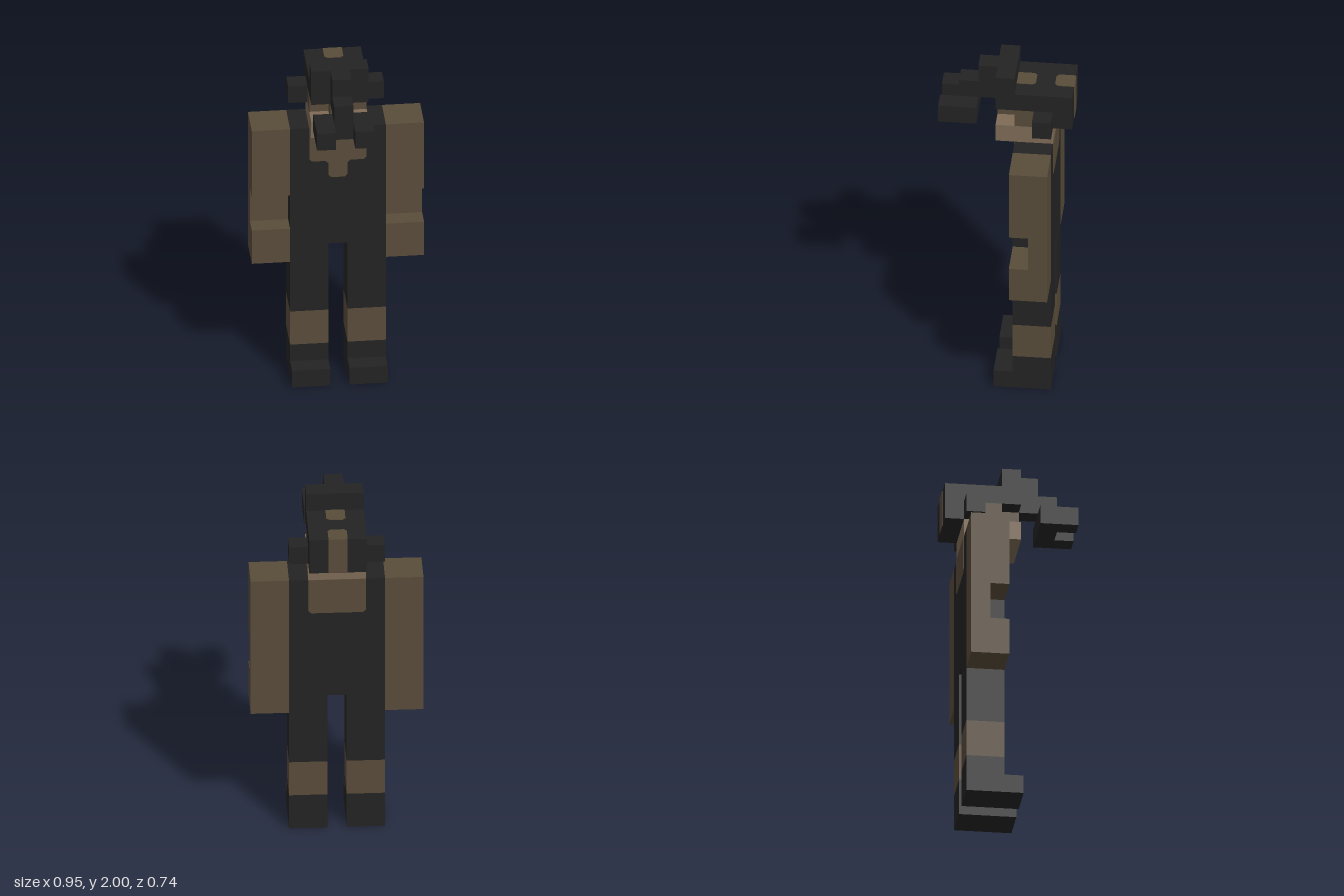
import * as THREE from 'three';

const U = 2 / 19; // one block

export function createModel() {
  const model = new THREE.Group();
  model.name = 'blockFigure';

  const material = (name, color) => {
    const m = new THREE.MeshStandardMaterial({ color });
    m.name = name;
    return m;
  };
  const black = material('black', 0x232323);
  const brown = material('brown', 0x594c3a);
  const tan = material('tan', 0x7e6b56);

  // Box given by its limits in blocks
  function box(name, mat, [x0, x1], [y0, y1], [z0, z1], parent = model) {
    const geo = new THREE.BoxGeometry((x1 - x0) * U, (y1 - y0) * U, (z1 - z0) * U);
    const mesh = new THREE.Mesh(geo, mat);
    mesh.position.set((x0 + x1) / 2 * U, (y0 + y1) / 2 * U, (z0 + z1) / 2 * U);
    mesh.name = name;
    parent.add(mesh);
    return mesh;
  }

  // Thin painted plate from an outline in blocks, with small cut corners
  function plate(name, mat, points, cut = 0.15) {
    const pts = points.map(p => new THREE.Vector2(...p));
    const outline = [];
    pts.forEach((p, i) => {
      const sharp = points[i][2] === 0;
      if (sharp) { outline.push(p.clone().multiplyScalar(U)); return; }
      for (const q of [pts[(i + pts.length - 1) % pts.length], pts[(i + 1) % pts.length]]) {
        const step = q.clone().sub(p).setLength(cut);
        outline.push(p.clone().add(step).multiplyScalar(U));
      }
    });
    const geo = new THREE.ExtrudeGeometry(new THREE.Shape(outline), { depth: 0.003, bevelEnabled: false });
    const mesh = new THREE.Mesh(geo, mat);
    mesh.name = name;
    model.add(mesh);
    return mesh;
  }

  // Legs and arms, mirrored
  for (const side of [1, -1]) {
    const span = (a, b) => side > 0 ? [a, b] : [-b, -a];
    const label = side > 0 ? 'left' : 'right';
    const leg = new THREE.Group();
    leg.name = label + 'Leg';
    box('boot', black, span(0.5, 2.5), [0, 2], [-2.5, -0.5], leg);
    box('toe', black, span(0.5, 2.5), [0, 1], [-0.5, 0.5], leg);
    box('shin', brown, span(0.5, 2.5), [2, 4], [-2.5, -0.5], leg);
    box('thigh', black, span(0.5, 2.5), [4, 8], [-2.5, -0.5], leg);

    const arm = new THREE.Group();
    arm.name = label + 'Arm';
    box('armBack', brown, span(2.5, 4.5), [7, 15], [-2.5, -1.5], arm);
    box('upperArm', brown, span(2.5, 4.5), [11, 15], [-1.5, -0.5], arm);
    box('hand', brown, span(2.5, 4.5), [7, 9], [-1.5, -0.5], arm);
    model.add(leg, arm);

    box(label + 'HairTuft', black, span(1.5, 2.5), [16, 17], [-2.5, -1.5]);
    box(label + 'FrontLock', black, span(0.5, 1.5), [16, 17], [1.5, 3.5]);
  }

  // Torso with open neckline in front and behind
  box('torso', black, [-2.5, 2.5], [8, 15], [-2.5, -0.5]);
  plate('frontNeckline', brown, [
    [-1.5, 15, 0], [-1.5, 13], [-0.5, 13], [-0.5, 12],
    [0.5, 12], [0.5, 13], [1.5, 13], [1.5, 15, 0],
  ]).position.z = -0.5 * U;
  const backPatch = plate('backNeckline', brown, [[-1.5, 15, 0], [-1.5, 13], [1.5, 13], [1.5, 15, 0]]);
  backPatch.rotation.y = Math.PI;
  backPatch.position.z = -2.5 * U;

  // Face
  box('jaw', tan, [-1.5, 1.5], [15, 16], [-2.5, 0.5]);
  box('face', brown, [-1.5, 1.5], [16, 17], [-1.5, -0.5]);
  box('nose', brown, [-0.5, 0.5], [16, 17], [-0.5, 0.5]);

  // Headpiece
  box('backHair', black, [-1.5, 1.5], [16, 17], [-3.5, -1.5]);
  box('crown', black, [-1.5, 1.5], [17, 18], [-3.5, 0.5]);
  box('crest', black, [-1.5, 1.5], [18, 19], [-0.5, 0.5]);
  box('crestFront', black, [-0.5, 0.5], [17, 19], [0.5, 1.5]);
  box('frontBar', black, [-0.5, 0.5], [16, 18], [1.5, 2.5]);

  // Brown marks along the middle of the headpiece
  const backStripe = plate('backStripe', brown, [[-0.5, 16, 0], [0.5, 16, 0], [0.5, 18, 0], [-0.5, 18, 0]]);
  backStripe.rotation.y = Math.PI;
  backStripe.position.z = -3.5 * U;
  const topMarks = [
    plate('rearTopMark', brown, [[-0.5, 2.5], [0.5, 2.5], [0.5, 3.5, 0], [-0.5, 3.5, 0]]),
    plate('crownMark', brown, [[-0.5, 0.5, 0], [0.5, 0.5, 0], [0.5, 1.5], [-0.5, 1.5]]),
  ];
  for (const mark of topMarks) {
    mark.rotation.x = -Math.PI / 2;
    mark.position.y = 18 * U;
  }

  return model;
}
